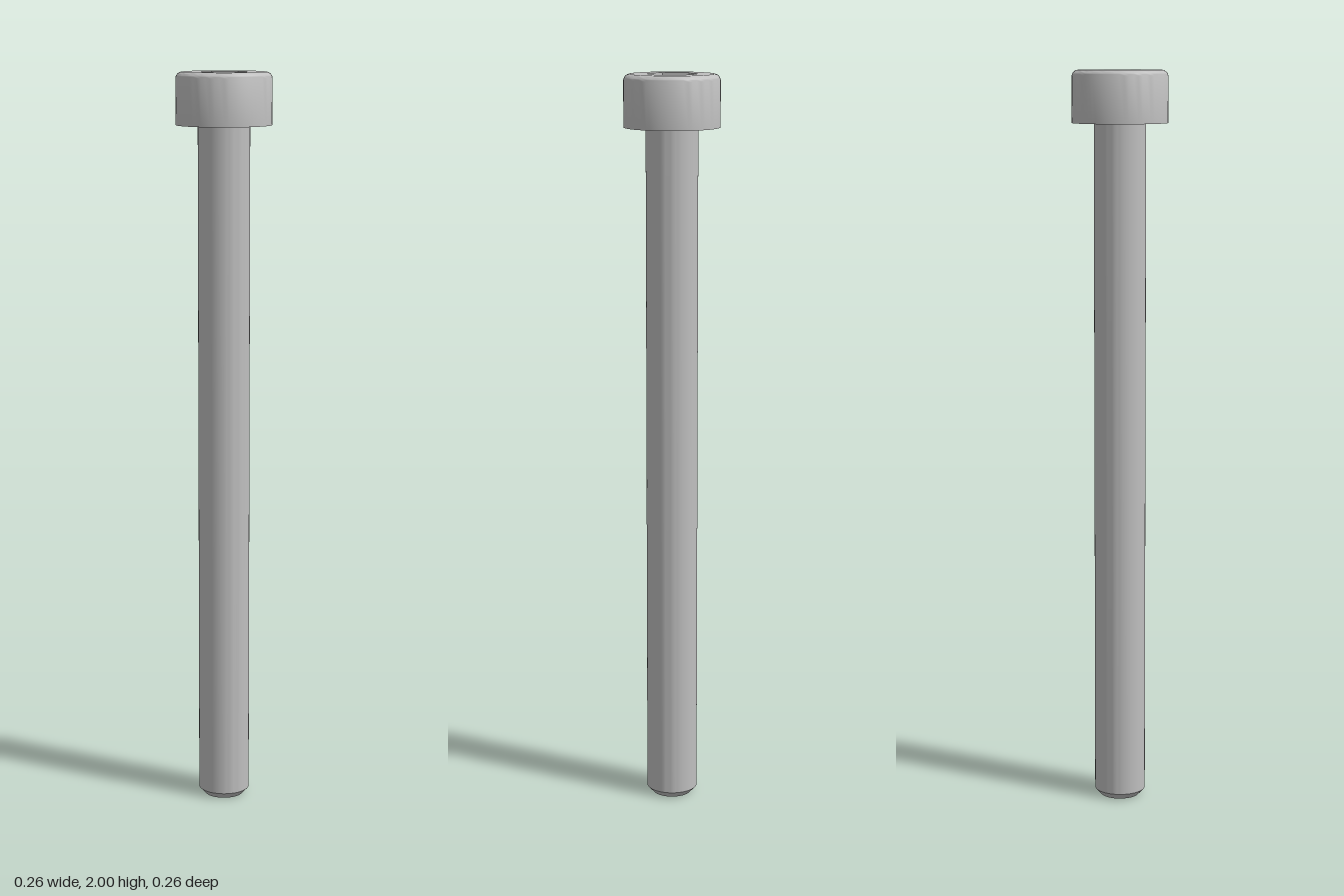
import * as THREE from 'three';
import { toCreasedNormals } from 'three/addons/utils/BufferGeometryUtils.js';

const SEGMENTS = 64;
const HEIGHT = 2;
const HEAD_BASE = 1.861, HEAD_RADIUS = 0.128, FILLET = 0.018;
const SHANK_RADIUS = 0.0695, TIP_RADIUS = 0.053, CHAMFER = 0.018;
const SOCKET_RADIUS = 0.071, WALL_DEPTH = 0.03, SOCKET_DEPTH = 0.066;

const points = (list) => list.map(([r, y]) => new THREE.Vector2(r, y));

export function createModel() {
  const model = new THREE.Group();
  model.name = 'socketHeadBolt';
  const steel = new THREE.MeshStandardMaterial({ color: 0xbfbfbf });
  steel.name = 'steel grey';

  const add = (name, geometry) => {
    const mesh = new THREE.Mesh(geometry, steel);
    mesh.name = name;
    model.add(mesh);
  };
  const turned = (list) =>
    toCreasedNormals(new THREE.LatheGeometry(points(list), SEGMENTS), Math.PI / 6);

  // Plain shank with a chamfered tip
  add('shank', turned([
    [0, 0], [TIP_RADIUS, 0], [SHANK_RADIUS, CHAMFER], [SHANK_RADIUS, HEAD_BASE],
  ]));

  // Cylindrical head with a rounded upper rim
  const rim = [];
  for (let i = 0; i <= 8; i++) {
    const a = (i / 8) * Math.PI / 2;
    rim.push([
      HEAD_RADIUS - FILLET + FILLET * Math.cos(a),
      HEIGHT - FILLET + FILLET * Math.sin(a),
    ]);
  }
  add('head', turned([[SHANK_RADIUS, HEAD_BASE], [HEAD_RADIUS, HEAD_BASE], ...rim]));

  // Flat top of the head, cut by the hexagonal opening
  const polygon = (radius, sides) => Array.from({ length: sides }, (_, i) => {
    const a = (i / sides) * Math.PI * 2;
    return new THREE.Vector2(radius * Math.sin(a), radius * Math.cos(a));
  });
  const face = new THREE.Shape(polygon(HEAD_RADIUS - FILLET, SEGMENTS));
  face.holes.push(new THREE.Path(polygon(SOCKET_RADIUS, 6)));
  add('headTop', new THREE.ShapeGeometry(face).rotateX(-Math.PI / 2).translate(0, HEIGHT, 0));

  // Hexagonal socket: upright walls, then a faceted conical floor
  const socket = new THREE.LatheGeometry(points([
    [SOCKET_RADIUS, HEIGHT],
    [SOCKET_RADIUS, HEIGHT - WALL_DEPTH],
    [0, HEIGHT - SOCKET_DEPTH],
  ]), 6).toNonIndexed();
  socket.computeVertexNormals();
  add('hexSocket', socket);

  return model;
}
